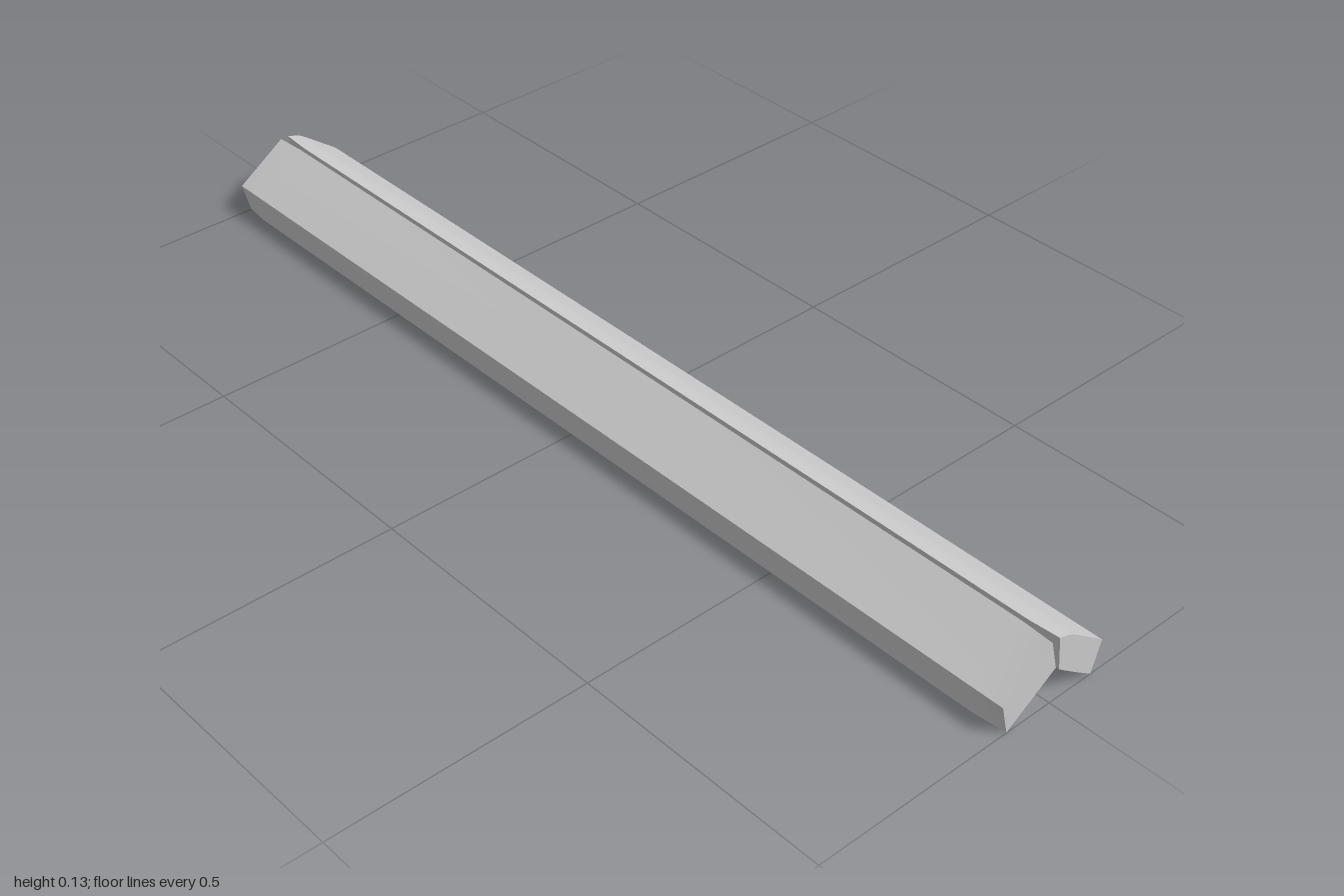
import * as THREE from 'three';
import { toCreasedNormals } from 'three/addons/utils/BufferGeometryUtils.js';

// Joins cross-sections [x, y] (counter-clockwise seen from +z) at stations running from +z to -z
function loft(sections, stations) {
  const n = sections[0].length, pos = [], index = [];
  sections.forEach((s, k) => s.forEach(([x, y]) => pos.push(x, y, stations[k])));
  for (let k = 0; k < sections.length - 1; k++) {
    for (let i = 0; i < n; i++) {
      const j = (i + 1) % n;
      const a = k * n + i, b = k * n + j, c = a + n, d = b + n;
      index.push(a, c, b, b, c, d);
    }
  }
  // flat end caps
  const last = (sections.length - 1) * n;
  for (let i = 1; i < n - 1; i++) {
    index.push(0, i, i + 1);
    index.push(last, last + i + 1, last + i);
  }
  const g = new THREE.BufferGeometry();
  g.setAttribute('position', new THREE.Float32BufferAttribute(pos, 3));
  g.setIndex(index);
  return toCreasedNormals(g, 0.4);
}

export function createModel() {
  const model = new THREE.Group();
  const material = new THREE.MeshStandardMaterial({ color: 0xcccccc, side: THREE.DoubleSide });
  const stations = [1, 0.94, -0.94, -1];

  const addSlab = (name, end, middle) => {
    const mesh = new THREE.Mesh(loft([end, middle, middle, end], stations), material);
    mesh.name = name;
    model.add(mesh);
  };

  // Flat slab on the -x side, its lower corners trimmed at both ends
  addSlab('flatSlab',
    [[-0.013, 0.13], [-0.115, 0.061], [-0.099, 0.001], [0.004, 0.07]],
    [[-0.008, 0.129], [-0.115, 0.061], [-0.109, 0.006], [0.004, 0.07]]);

  // Slab on the +x side, rounded over towards the ridge
  const crown = [[0.115, 0.061], [0.047, 0.111], [0.03, 0.122], [0.018, 0.126], [0.004, 0.13]];
  const under = [0.055, 0.03];
  addSlab('roundedSlab',
    [...crown, [0.013, 0.061], under, [0.098, 0]],
    [...crown.slice(0, 4), [0.001, 0.129], [0.007, 0.074], under, [0.11, 0.006]]);

  return model;
}
